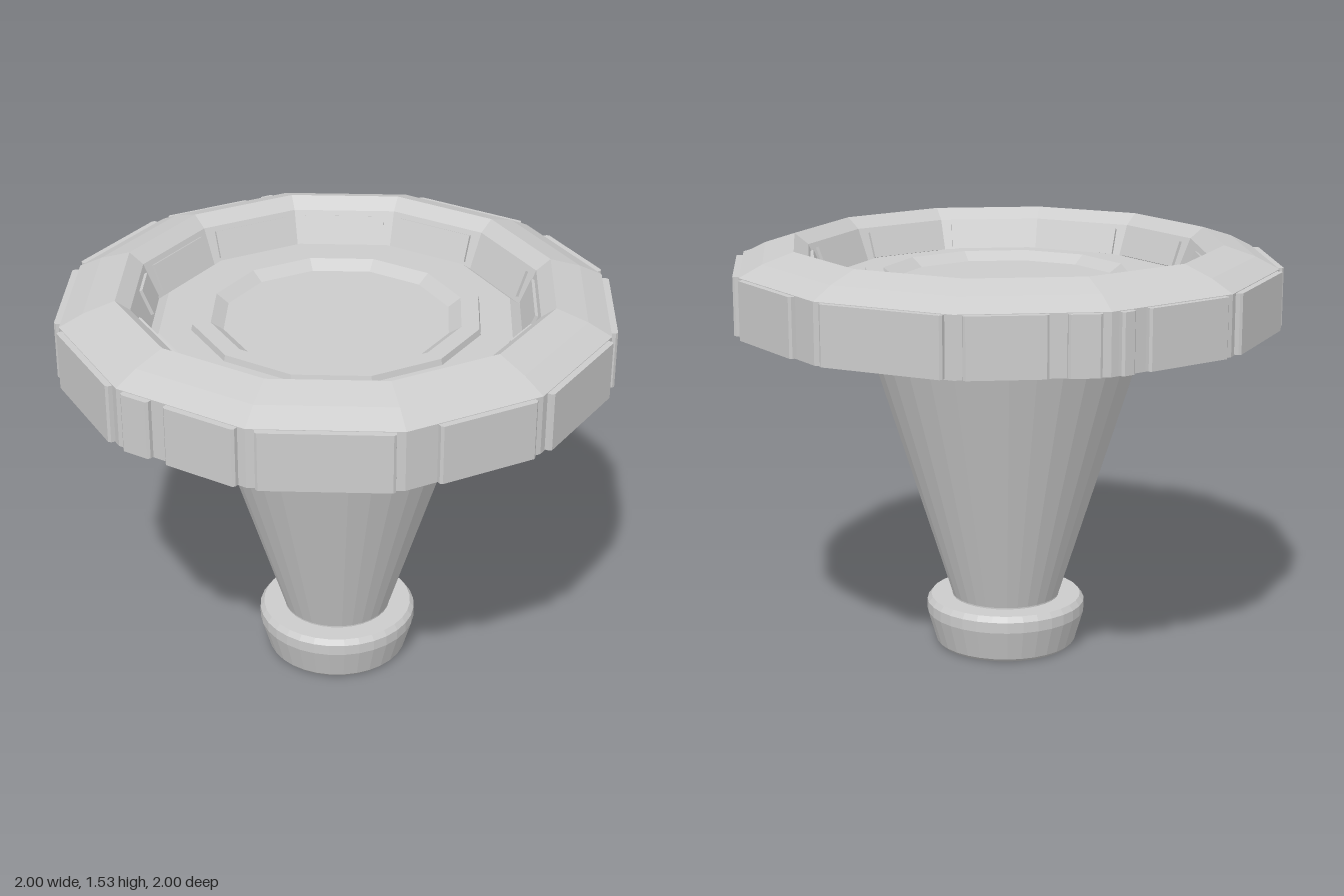
import * as THREE from 'three';

const grey = new THREE.MeshStandardMaterial({ color: 0xcccccc, flatShading: true });

function add(parent, name, geometry) {
  const mesh = new THREE.Mesh(geometry, grey);
  mesh.name = name;
  parent.add(mesh);
  return mesh;
}

// Profile is [radius, height], running from the lower centre outward and up
function lathe(profile, sides) {
  return new THREE.LatheGeometry(profile.map(([r, y]) => new THREE.Vector2(r, y)), sides);
}

// Rim plate with chamfered ends, spanning a..b along one side of the disc
function rimPlate(a, b) {
  const c = 0.008;
  const shape = new THREE.Shape([
    [a, 0.93], [b, 0.93], [b, 0.967], [b - c, 0.975], [a + c, 0.975], [a, 0.967],
  ].map(([x, y]) => new THREE.Vector2(x, y)));
  const geometry = new THREE.ExtrudeGeometry(shape, { depth: 0.21, bevelEnabled: false });
  return geometry.rotateX(Math.PI / 2).translate(0, 1.448, 0);
}

export function createModel() {
  const model = new THREE.Group();
  model.name = 'pedestalPlatform';

  // Foot ring with a recessed underside
  add(model, 'foot', lathe([
    [0, 0.025], [0.215, 0.025], [0.225, 0], [0.25, 0], [0.262, 0.012],
    [0.295, 0.125], [0.295, 0.165], [0.28, 0.185], [0.19, 0.185],
  ], 32));

  // Flaring stem
  add(model, 'stem', lathe([[0.2, 0.17], [0.2, 0.19], [0.53, 1.24]], 32));

  // Twelve-sided disc: underside, rim, sloped lip, bowl wall and stepped floor
  add(model, 'disc', lathe([
    [0, 1.235], [0.985, 1.235], [0.985, 1.45], [0.9, 1.493], [0.787, 1.53],
    [0.735, 1.49], [0.68, 1.36], [0.64, 1.39], [0.525, 1.39],
    [0.52, 1.412], [0.455, 1.412], [0.41, 1.38], [0, 1.38],
  ], 12));

  // Sides whose plates are split or shortened
  const rimSpans = {
    1: [[-0.138, 0.225]],
    4: [[-0.225, 0.138]],
    6: [[-0.225, 0.053], [0.113, 0.225]],
    7: [[-0.225, -0.17], [-0.113, 0.225]],
    11: [[-0.225, -0.113], [-0.053, 0.225]],
  };
  const wallSpans = { 2: [0, 0.15], 9: [-0.15, 0] };

  for (let k = 0; k < 12; k++) {
    const side = new THREE.Group();
    side.name = 'side' + (k + 1);
    side.rotation.y = (k + 0.5) * Math.PI / 6;
    model.add(side);

    for (const [a, b] of rimSpans[k] || [[-0.225, 0.225]]) {
      add(side, 'rimPlate', rimPlate(a, b));
    }

    // Thin plate leaning on the bowl wall
    const [a, b] = wallSpans[k] || [-0.15, 0.15];
    const plate = add(side, 'wallPlate', new THREE.BoxGeometry(b - a, 0.1, 0.025));
    plate.position.set((a + b) / 2, 1.425, 0.684);
    plate.rotation.x = Math.atan2(0.053, 0.13);
  }
  return model;
}
